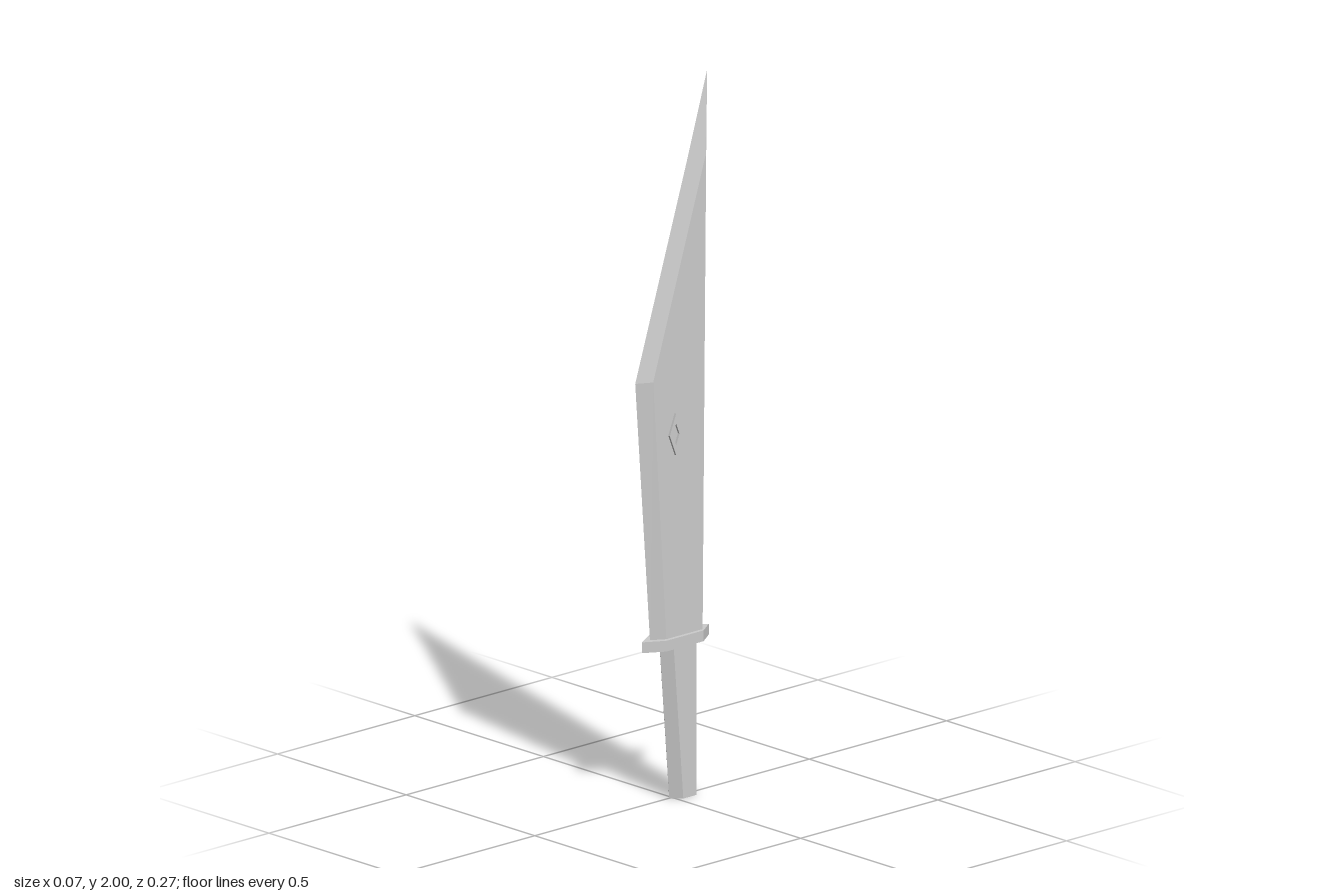
import * as THREE from 'three';

const material = new THREE.MeshStandardMaterial({ color: 0xcccccc, flatShading: true });

// Six-sided section: front ridge, flat sides of half width w, back ridge.
const section = (y, w, front, flatFront, flatBack, back) => [
  [0, y, front], [w, y, flatFront], [w, y, flatBack],
  [0, y, back], [-w, y, flatBack], [-w, y, flatFront],
];

// Joins sections from bottom to top and caps both ends.
function loft(name, rings) {
  const n = 6;
  const index = [];
  for (let r = 0; r < rings.length - 1; r++) {
    for (let i = 0; i < n; i++) {
      const a = r * n + i, b = r * n + (i + 1) % n;
      index.push(a, b, b + n, a, b + n, a + n);
    }
  }
  const top = (rings.length - 1) * n;
  for (let i = 1; i < n - 1; i++) {
    index.push(0, i + 1, i);
    index.push(top, top + i, top + i + 1);
  }
  const indexed = new THREE.BufferGeometry();
  indexed.setAttribute('position', new THREE.Float32BufferAttribute(rings.flat(2), 3));
  indexed.setIndex(index);
  const geometry = indexed.toNonIndexed();
  geometry.computeVertexNormals();
  const mesh = new THREE.Mesh(geometry, material);
  mesh.name = name;
  return mesh;
}

// Raised diamond frame for one side of the blade.
function ornament(name, x) {
  const diamond = (target, y, z) => {
    target.moveTo(0, -y);
    target.lineTo(z, 0);
    target.lineTo(0, y);
    target.lineTo(-z, 0);
    target.closePath();
    return target;
  };
  const shape = diamond(new THREE.Shape(), 0.058, 0.023);
  shape.holes.push(diamond(new THREE.Path(), 0.03, 0.012));
  const geometry = new THREE.ExtrudeGeometry(shape, { depth: 0.012, bevelEnabled: false });
  geometry.translate(0, 0, -0.006);
  geometry.rotateY(Math.PI / 2);
  const mesh = new THREE.Mesh(geometry, material);
  mesh.name = name;
  mesh.position.set(x, 1.02, 0.012);
  return mesh;
}

export function createModel() {
  const model = new THREE.Group();
  model.name = 'knife';

  // Grip tapering towards its foot
  model.add(loft('handle', [
    section(0, 0.028, 0.01, -0.015, -0.063, -0.086),
    section(0.43, 0.028, 0.045, 0.02, -0.063, -0.086),
  ]));

  // Flat plate between grip and blade
  model.add(loft('guard', [
    section(0.425, 0.034, 0.11, 0.052, -0.083, -0.134),
    section(0.455, 0.034, 0.11, 0.052, -0.083, -0.134),
  ]));

  // Blade widening to the belly, then clipped to a point at the spine
  model.add(loft('blade', [
    section(0.45, 0.023, 0.08, 0.042, -0.09, -0.101),
    section(1.18, 0.023, 0.134, 0.09, -0.097, -0.113),
    section(1.77, 0.023, -0.057, -0.1, -0.103, -0.124),
    section(2, 0, -0.128, -0.128, -0.128, -0.128),
  ]));

  model.add(ornament('leftOrnament', 0.023), ornament('rightOrnament', -0.023));
  return model;
}
